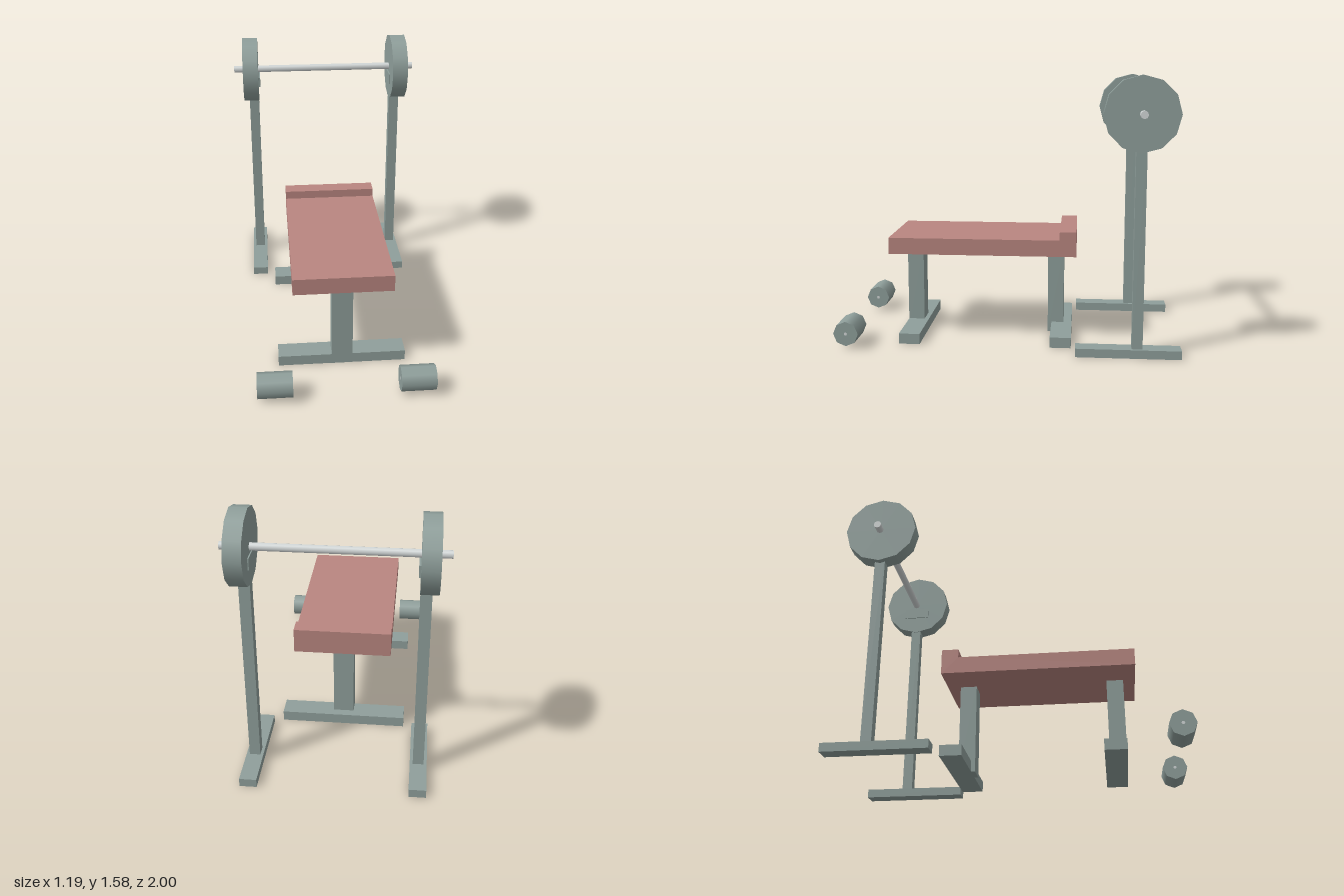
import * as THREE from 'three';

const steel = new THREE.MeshStandardMaterial({ color: 0x8f9f9b });
steel.name = 'grey steel';
const padding = new THREE.MeshStandardMaterial({ color: 0xb98680 });
padding.name = 'red padding';
const chrome = new THREE.MeshStandardMaterial({ color: 0xd3d8d8 });
chrome.name = 'bright chrome';

export function createModel() {
  const model = new THREE.Group();
  model.name = 'weightBench';

  // Box given by its lower and upper limits on each axis
  const box = (name, material, [x0, x1], [y0, y1], [z0, z1]) => {
    const mesh = new THREE.Mesh(new THREE.BoxGeometry(x1 - x0, y1 - y0, z1 - z0), material);
    mesh.position.set((x0 + x1) / 2, (y0 + y1) / 2, (z0 + z1) / 2);
    mesh.name = name;
    model.add(mesh);
  };

  // Cylinder lying along x
  const rod = (name, material, radius, length, sides, x, y, z) => {
    const geometry = new THREE.CylinderGeometry(radius, radius, length, sides).rotateZ(Math.PI / 2);
    const mesh = new THREE.Mesh(geometry, material);
    mesh.position.set(x, y, z);
    mesh.name = name;
    model.add(mesh);
  };

  // Padded bench with a raised head end (one stepped side profile)
  const profile = new THREE.Shape([
    [-0.71, 0.525], [0.403, 0.525], [0.403, 0.672], [0.305, 0.672], [0.305, 0.622], [-0.71, 0.622],
  ].map(([u, y]) => new THREE.Vector2(u, y)));
  const pad = new THREE.Mesh(
    new THREE.ExtrudeGeometry(profile, { depth: 0.57, bevelEnabled: false })
      .translate(0, 0, -0.285).rotateY(Math.PI / 2),
    padding);
  pad.name = 'benchPad';
  model.add(pad);

  // Bench legs and cross feet
  box('frontBenchLeg', steel, [-0.062, 0.06], [0, 0.525], [0.543, 0.641]);
  box('frontBenchFoot', steel, [-0.373, 0.37], [0, 0.062], [0.516, 0.64]);
  box('rearBenchLeg', steel, [-0.062, 0.06], [0, 0.525], [-0.327, -0.23]);
  box('rearBenchFoot', steel, [-0.373, 0.37], [0, 0.062], [-0.377, -0.253]);

  for (const side of [-1, 1]) {
    const label = side < 0 ? 'right' : 'left';
    const span = (a, b) => (side < 0 ? [-b, -a] : [a, b]);

    // Rack stand
    box(label + 'RackFoot', steel, span(0.423, 0.52), [0, 0.05], [-1, -0.403]);
    box(label + 'RackPost', steel, span(0.44, 0.502), [0.05, 1.3], [-0.782, -0.721]);
    box(label + 'BarRest', steel, span(0.428, 0.51), [1.27, 1.335], [-0.83, -0.67]);

    // Barbell plate
    rod(label + 'WeightPlate', steel, 0.21, 0.097, 12, side * 0.485 - 0.002, 1.37, -0.75);

    // Floor dumbbell with a small bar end
    rod(label + 'Dumbbell', steel, 0.073, 0.197, 8, side * 0.397 - 0.002, 0.091, 0.927);
    rod(label + 'DumbbellBar', chrome, 0.01, 0.198, 6, side * 0.397 - 0.002, 0.091, 0.927);
  }

  // Barbell bar
  rod('barbellBar', chrome, 0.0225, 1.188, 8, -0.002, 1.37, -0.755);

  return model;
}
